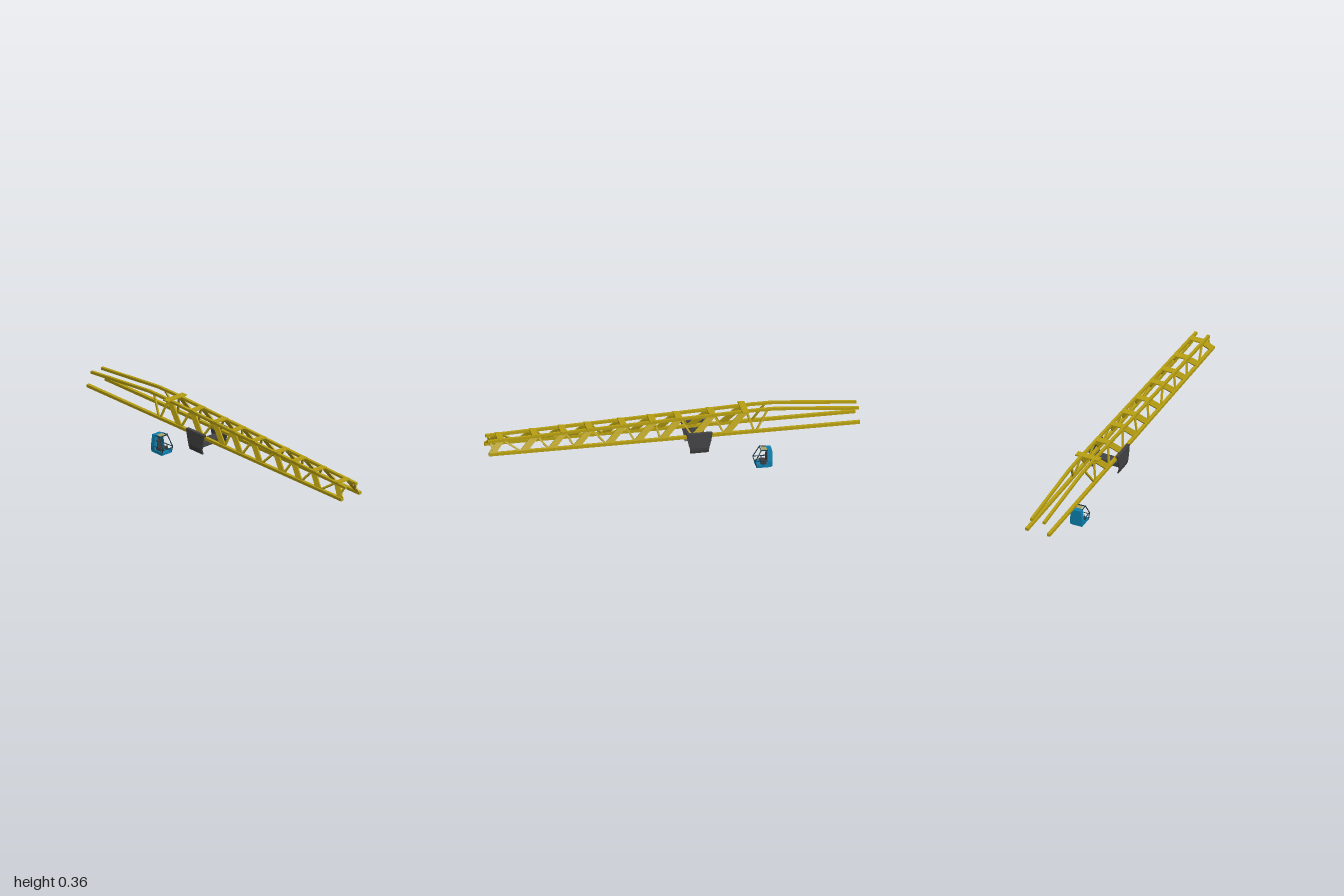
import * as THREE from 'three';
import { RoundedBoxGeometry } from 'three/addons/geometries/RoundedBoxGeometry.js';

const mat = (color) => new THREE.MeshStandardMaterial({ color, flatShading: true });
const V = (x, y, z) => new THREE.Vector3(x, y, z);

export function createModel() {
  const root = new THREE.Group();
  const yellow = mat(0xb8a012), grey = mat(0x444446), blue = mat(0x0c80b0);
  const dark = mat(0x1d3a42), seatGrey = mat(0x3c3c3e), beige = mat(0xb0a468);

  const add = (parent, name, geo, material, x = 0, y = 0, z = 0) => {
    const m = new THREE.Mesh(geo, material);
    m.name = name;
    m.position.set(x, y, z);
    parent.add(m);
    return m;
  };
  const box = (parent, name, material, w, h, d, x, y, z) =>
    add(parent, name, new THREE.BoxGeometry(w, h, d), material, x, y, z);

  // Rectangular bar between two points; width lies towards the hint axis
  const bar = (parent, name, material, p, q, w, t, hint = V(0, 0, 1)) => {
    const dir = q.clone().sub(p), len = dir.length();
    dir.normalize();
    const side = hint.clone().addScaledVector(dir, -hint.dot(dir)).normalize();
    const m = box(parent, name, material, w, len, t, 0, 0, 0);
    m.quaternion.setFromRotationMatrix(
      new THREE.Matrix4().makeBasis(side, dir, side.clone().cross(dir)));
    m.position.copy(p).add(q).multiplyScalar(0.5);
    return m;
  };
  const shapeOf = (pts) => new THREE.Shape(pts.map(([a, b]) => new THREE.Vector2(a, b)));
  const extrude = (shape, depth) =>
    new THREE.ExtrudeGeometry(shape, { depth, bevelEnabled: false });

  // ---- Lattice boom ----
  const boom = new THREE.Group();
  boom.name = 'latticeBoom';
  root.add(boom);
  const LOW_X = 0.064, LOW_Y = 0.24, TOP_X = 0.037;
  const topLine = [[1, 0.301], [-0.43, 0.349], [-0.55, 0.349], [-1, 0.309]];
  const topY = (z) => {
    for (let i = 0; i < 3; i++) {
      const [a, ya] = topLine[i], [b, yb] = topLine[i + 1];
      if (z >= b) return ya + (yb - ya) * (z - a) / (b - a);
    }
    return topLine[3][1];
  };
  const chordShape = shapeOf([
    ...topLine.map(([z, y]) => [z, y - 0.0075]),
    ...topLine.slice().reverse().map(([z, y]) => [z, y + 0.0075])]);
  const nodes = [0.93, 0.745, 0.59, 0.45, 0.27, 0.11, -0.03, -0.21, -0.385];
  const footZ = (z) => Math.min(0.985, z + topY(z) - LOW_Y);

  for (const s of [1, -1]) {
    const low = (z) => V(s * LOW_X, LOW_Y, z);
    const top = (z) => V(s * TOP_X, topY(z), z);
    box(boom, 'lowerChord', yellow, 0.018, 0.016, 2, s * LOW_X, LOW_Y, 0);
    // side profile turned so that its first axis runs along z
    const chord = add(boom, 'upperChord', extrude(chordShape, 0.015), yellow, s * TOP_X + 0.0075);
    chord.rotation.y = -Math.PI / 2;
    // wide plates rise to the rear, thin struts drop to the next foot
    nodes.forEach((z, i) => {
      bar(boom, 'wideBrace', yellow, low(footZ(z)), top(z), 0.034, 0.008);
      const next = i + 1 < nodes.length ? footZ(nodes[i + 1]) : -0.44;
      bar(boom, 'thinStrut', yellow, top(z - 0.01), low(next + 0.01), 0.01, 0.009);
    });
    bar(boom, 'rearStrut', yellow, low(-0.44), top(-0.51), 0.01, 0.009);
    bar(boom, 'endStrut', yellow, top(0.99), low(0.965), 0.01, 0.009);
  }
  // cross plates tying the upper chords
  nodes.forEach((z, i) => {
    const half = i === nodes.length - 1 ? 0.068 : 0.043;
    const p = box(boom, 'crossPlate', yellow, half * 2, 0.007, 0.036, 0, topY(z) + 0.006, z);
    p.rotation.x = -0.05;
  });

  // ---- Saddle bracket under the boom ----
  const saddle = new THREE.Group();
  saddle.name = 'saddleBracket';
  root.add(saddle);
  box(saddle, 'saddleCrossBeam', grey, 0.162, 0.025, 0.055, 0, 0.184, -0.135);
  // cheek rows: outer x, inner x, y, half length
  const rows = [
    [0.088, 0.08, 0.264, 0.07], [0.088, 0.08, 0.215, 0.062], [0.088, 0.08, 0.178, 0.052],
    [0.085, 0.077, 0.163, 0.051], [0.079, 0.07, 0.147, 0.05]];
  for (const s of [1, -1]) {
    const pos = [], idx = [];
    for (const [o, i, y, h] of rows) {
      for (const [x, z] of [[o, h], [o, -h], [i, -h], [i, h]]) pos.push(s * x, y, z);
    }
    const quad = (a, b, c, d) =>
      s > 0 ? idx.push(a, c, b, a, d, c) : idx.push(a, b, c, a, c, d);
    for (let r = 0; r < rows.length - 1; r++) {
      for (let k = 0; k < 4; k++) {
        const n = (k + 1) % 4, b = r * 4;
        quad(b + k, b + n, b + 4 + n, b + 4 + k);
      }
    }
    const e = (rows.length - 1) * 4;
    quad(3, 2, 1, 0);
    quad(e, e + 1, e + 2, e + 3);
    const g = new THREE.BufferGeometry();
    g.setAttribute('position', new THREE.Float32BufferAttribute(pos, 3));
    g.setIndex(idx);
    g.computeVertexNormals();
    const cheekMat = grey.clone();
    cheekMat.side = THREE.DoubleSide;
    add(saddle, 'saddleCheek', g, cheekMat, 0, 0, -0.132);
    box(saddle, 'saddleLip', grey, 0.017, 0.012, 0.138, s * 0.0785, 0.258, -0.132);
  }

  // ---- Operator cab ----
  const cab = new THREE.Group();
  cab.name = 'operatorCab';
  root.add(cab);
  const wall = [[-0.035, 0.01], [0.035, 0.01], [0.036, 0.035], [0.027, 0.1], [-0.027, 0.1], [-0.036, 0.035]];
  const rim = shapeOf(wall);
  rim.holes.push(new THREE.Path(wall.map(([x, y]) =>
    new THREE.Vector2(x * 0.88, 0.055 + (y - 0.055) * 0.9))));
  add(cab, 'cabRearWall', extrude(shapeOf(wall), 0.005), blue, 0, 0, -0.535);
  add(cab, 'cabRearShell', extrude(rim, 0.021), blue, 0, 0, -0.53);
  box(cab, 'cabFloor', blue, 0.068, 0.006, 0.078, 0, 0.006, -0.492);
  box(cab, 'cabFrontSill', blue, 0.066, 0.012, 0.005, 0, 0.01, -0.452);
  box(cab, 'frontRail', dark, 0.068, 0.003, 0.003, 0, 0.035, -0.444);
  box(cab, 'roofHatch', beige, 0.034, 0.003, 0.026, 0, 0.1, -0.496);
  box(cab, 'roofFrontRail', dark, 0.054, 0.004, 0.004, 0, 0.1, -0.476);
  for (const s of [1, -1]) {
    // window frame: floor, nose, windscreen pillar, roof rail
    const path = [[0.034, 0.006, -0.452], [0.035, 0.042, -0.442],
      [0.027, 0.101, -0.476], [0.027, 0.1, -0.512]].map(([x, y, z]) => V(s * x, y, z));
    for (let i = 0; i < 3; i++)
      bar(cab, 'cabPillar', dark, path[i], path[i + 1], 0.004, 0.004, V(1, 0, 0));
    bar(cab, 'doorPillar', dark, V(s * 0.034, 0.008, -0.487), V(s * 0.035, 0.04, -0.487), 0.003, 0.003);
    bar(cab, 'doorRail', dark, path[1], V(s * 0.035, 0.04, -0.512), 0.003, 0.003, V(1, 0, 0));
    box(cab, 'sideSill', blue, 0.003, 0.014, 0.055, s * 0.034, 0.013, -0.482);
    box(cab, 'stepPeg', dark, 0.008, 0.002, 0.002, s * 0.037, 0.02, -0.46);
    bar(cab, 'roofLamp', dark, V(s * 0.025, 0.099, -0.48), V(s * 0.03, 0.106, -0.478), 0.003, 0.003);
    box(cab, 'sideConsole', seatGrey, 0.012, 0.009, 0.032, s * 0.023, 0.026, -0.488);
    bar(cab, 'controlLever', dark, V(s * 0.023, 0.03, -0.476), V(s * 0.022, 0.042, -0.472), 0.002, 0.002);
  }
  // seat
  box(cab, 'seatBase', seatGrey, 0.022, 0.016, 0.024, 0, 0.016, -0.495);
  add(cab, 'seatCushion', new RoundedBoxGeometry(0.032, 0.009, 0.032, 2, 0.003), seatGrey, 0, 0.028, -0.492);
  const back = add(cab, 'seatBack', new RoundedBoxGeometry(0.029, 0.042, 0.008, 2, 0.003), seatGrey, 0, 0.051, -0.51);
  back.rotation.x = -0.1;
  add(cab, 'headrest', new RoundedBoxGeometry(0.016, 0.012, 0.007, 2, 0.003), seatGrey, 0, 0.077, -0.513);
  bar(cab, 'mirror', dark, V(-0.022, 0.045, -0.5), V(-0.022, 0.055, -0.5), 0.003, 0.003);
  return root;
}
